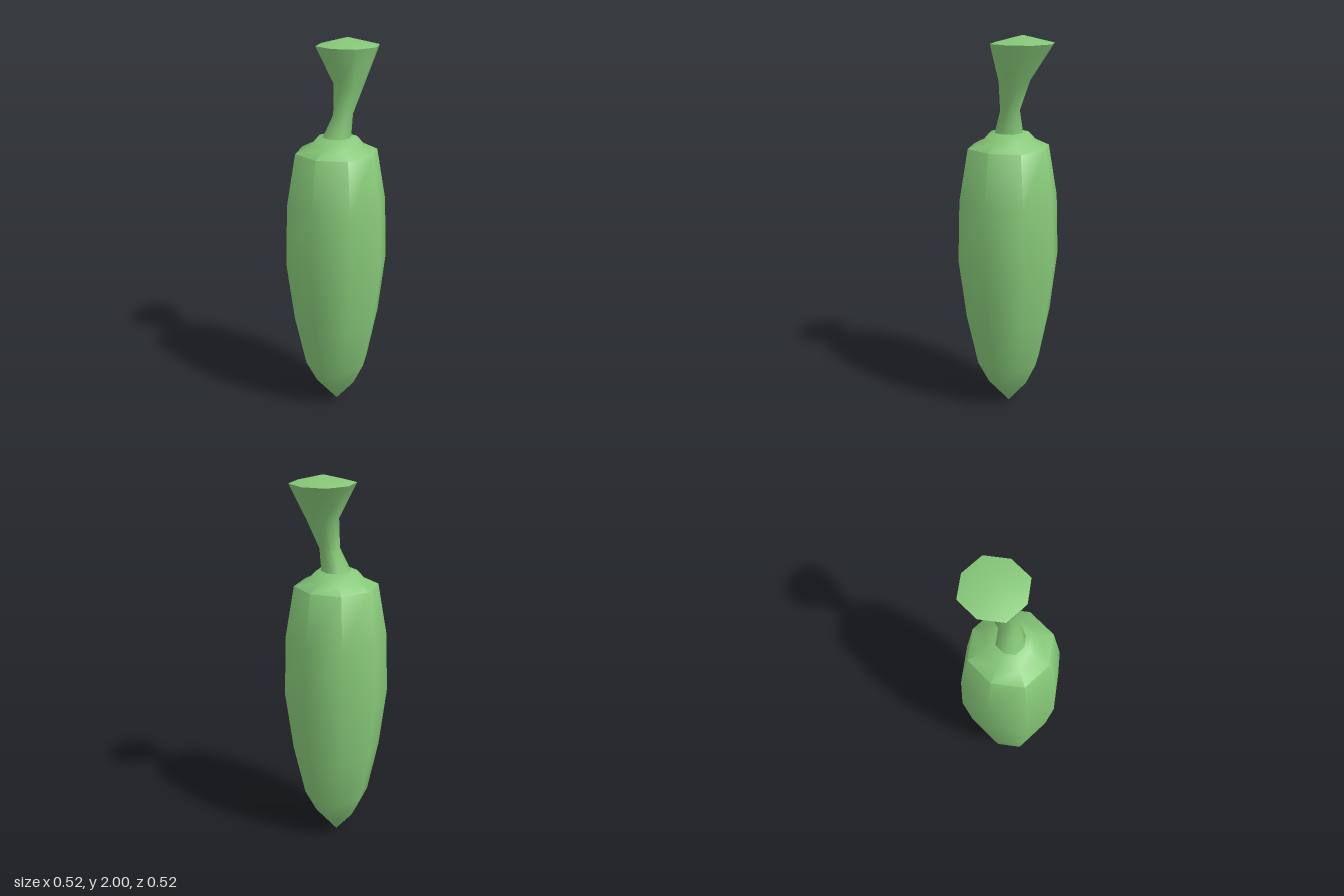
import * as THREE from 'three';
import { toCreasedNormals } from 'three/addons/utils/BufferGeometryUtils.js';

const SIDES = 8;

// Skin over octagonal rings [centreX, y, centreZ, radius], listed from bottom to top.
function loft(rings, crease) {
  const positions = [];
  const index = [];
  for (const [cx, y, cz, radius] of rings) {
    for (let i = 0; i < SIDES; i++) {
      const a = (i / SIDES) * Math.PI * 2;
      const r = radius * (i % 2 ? 1.05 : 1); // diagonal corners sit slightly further out
      positions.push(cx + Math.sin(a) * r, y, cz + Math.cos(a) * r);
    }
  }
  for (let k = 0; k < rings.length - 1; k++) {
    for (let i = 0; i < SIDES; i++) {
      const j = (i + 1) % SIDES;
      const a = k * SIDES + i, b = k * SIDES + j;
      const c = b + SIDES, d = a + SIDES;
      if (rings[k][3] > 0) index.push(a, b, c);
      if (rings[k + 1][3] > 0) index.push(a, c, d);
      else if (rings[k][3] > 0) index.splice(-3, 3, a, b, d);
    }
  }
  const geometry = new THREE.BufferGeometry();
  geometry.setAttribute('position', new THREE.Float32BufferAttribute(positions, 3));
  geometry.setIndex(index);
  return toCreasedNormals(geometry, crease);
}

export function createModel() {
  const group = new THREE.Group();
  group.name = 'vegetable';
  const green = new THREE.MeshStandardMaterial({ color: 0x86c878 });

  // Body: long tapered pod with a pointed tip and a stepped shoulder
  const profile = [
    [0, 0], [0.107, 0.13], [0.165, 0.25], [0.222, 0.53], [0.26, 0.85],
    [0.25, 1.17], [0.205, 1.44], [0.135, 1.475], [0.1, 1.515], [0, 1.515],
  ];
  const body = new THREE.Mesh(loft(profile.map(([r, y]) => [0, y, 0, r]), 1.0), green);
  body.name = 'body';
  group.add(body);

  // Stem: bent neck flaring to a wide end with a shallow domed cap
  const stem = new THREE.Mesh(loft([
    [0, 1.51, 0, 0],
    [0, 1.51, 0, 0.072],
    [0.025, 1.63, -0.021, 0.049],
    [0.041, 1.78, -0.055, 0.077],
    [0.014, 1.96, -0.085, 0.157],
    [0.012, 2.0, -0.085, 0],
  ], 1.0), green);
  stem.name = 'stem';
  group.add(stem);

  return group;
}
